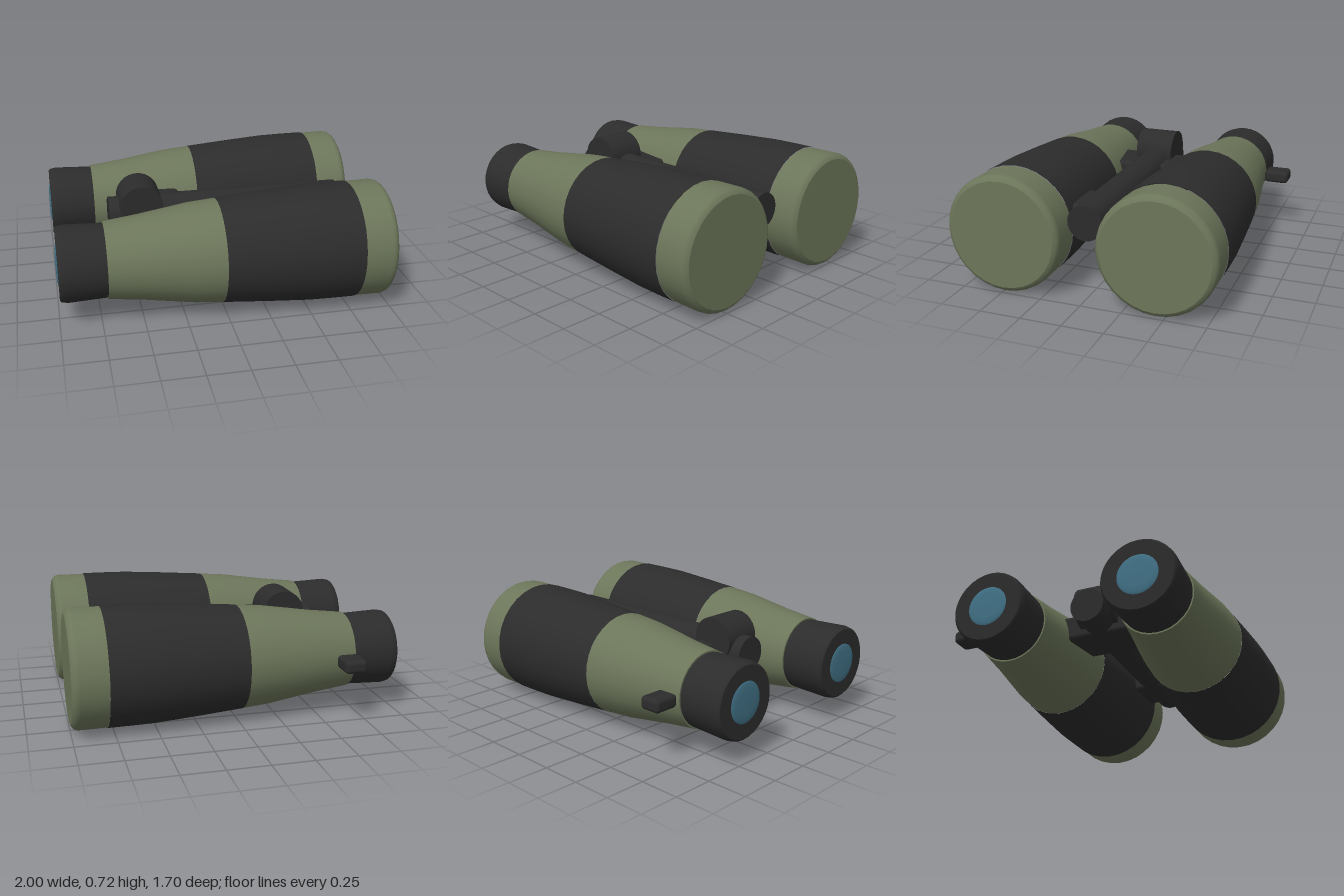
import * as THREE from 'three';
import { RoundedBoxGeometry } from 'three/addons/geometries/RoundedBoxGeometry.js';

const SIDES = 32;
const AXIS_Y = 0.36; // height of the barrel axes

export function createModel() {
  const model = new THREE.Group();
  model.name = 'binoculars';

  const material = (name, color) => {
    const m = new THREE.MeshStandardMaterial({ color });
    m.name = name;
    return m;
  };
  const olive = material('olive armour', 0x6c765a);
  const black = material('black rubber', 0x2c2c2c);
  const glass = material('blue glass', 0x417186);

  const add = (parent, name, geometry, mat, x = 0, y = 0, z = 0) => {
    const mesh = new THREE.Mesh(geometry, mat);
    mesh.name = name;
    mesh.position.set(x, y, z);
    parent.add(mesh);
    return mesh;
  };

  // Turned part along x; points are [x, radius] from the eye end to the front
  const turned = (points) => {
    const g = new THREE.LatheGeometry(points.map(([x, r]) => new THREE.Vector2(r, x)), SIDES);
    return g.rotateZ(-Math.PI / 2);
  };

  const box = (w, h, d, r) => new RoundedBoxGeometry(w, h, d, 3, r);

  // Barrel sections, each its own piece so that the seams stay sharp
  const sections = [
    ['eyepieceFace', black, [[-0.99, 0], [-0.99, 0.213]]],
    ['eyecup', black, [[-0.99, 0.213], [-0.98, 0.224], [-0.945, 0.231], [-0.71, 0.222]]],
    ['rearShoulder', olive, [[-0.71, 0.2], [-0.71, 0.231]]],
    ['rearBarrel', olive, [[-0.71, 0.231], [-0.5, 0.256], [-0.2, 0.302], [-0.03, 0.316]]],
    ['gripBand', black, [[-0.03, 0.317], [0.25, 0.339], [0.5, 0.356], [0.65, 0.359], [0.79, 0.36]]],
    ['frontRim', olive, [[0.79, 0.356], [0.955, 0.358], [0.975, 0.354], [0.99, 0.343], [1, 0.326]]],
    ['frontCover', olive, [[1, 0.326], [1, 0]]],
    ['eyeLens', glass, [[-1, 0], [-0.999, 0.075], [-0.996, 0.11], [-0.99, 0.123]]],
  ];

  const makeBarrel = (name, z) => {
    const barrel = new THREE.Group();
    barrel.name = name;
    barrel.position.set(0, AXIS_Y, z);
    for (const [part, mat, points] of sections) add(barrel, part, turned(points), mat);
    model.add(barrel);
  };
  makeBarrel('nearBarrel', 0.488);
  makeBarrel('farBarrel', -0.445);

  // Central hinge: shaft, focus wheel and the two bridges
  const hinge = new THREE.Group();
  hinge.name = 'centreHinge';
  model.add(hinge);
  const shaft = new THREE.CylinderGeometry(0.108, 0.108, 1.5, SIDES).rotateZ(-Math.PI / 2);
  add(hinge, 'hingeShaft', shaft, black, 0.11, 0.447, 0.022);
  const wheel = new THREE.CylinderGeometry(0.136, 0.136, 0.245, SIDES).rotateX(Math.PI / 2);
  add(hinge, 'focusWheel', wheel, black, -0.44, 0.526, 0.024);
  add(hinge, 'rearBridge', box(0.3, 0.165, 0.6, 0.03), black, -0.305, 0.418, 0.022);
  add(hinge, 'frontBridge', box(0.3, 0.165, 0.4, 0.03), black, 0.588, 0.418, 0.022);

  // Focus adjuster on the far barrel
  add(model, 'sideAdjuster', box(0.135, 0.08, 0.16, 0.025), black, -0.647, 0.364, -0.77);

  return model;
}
